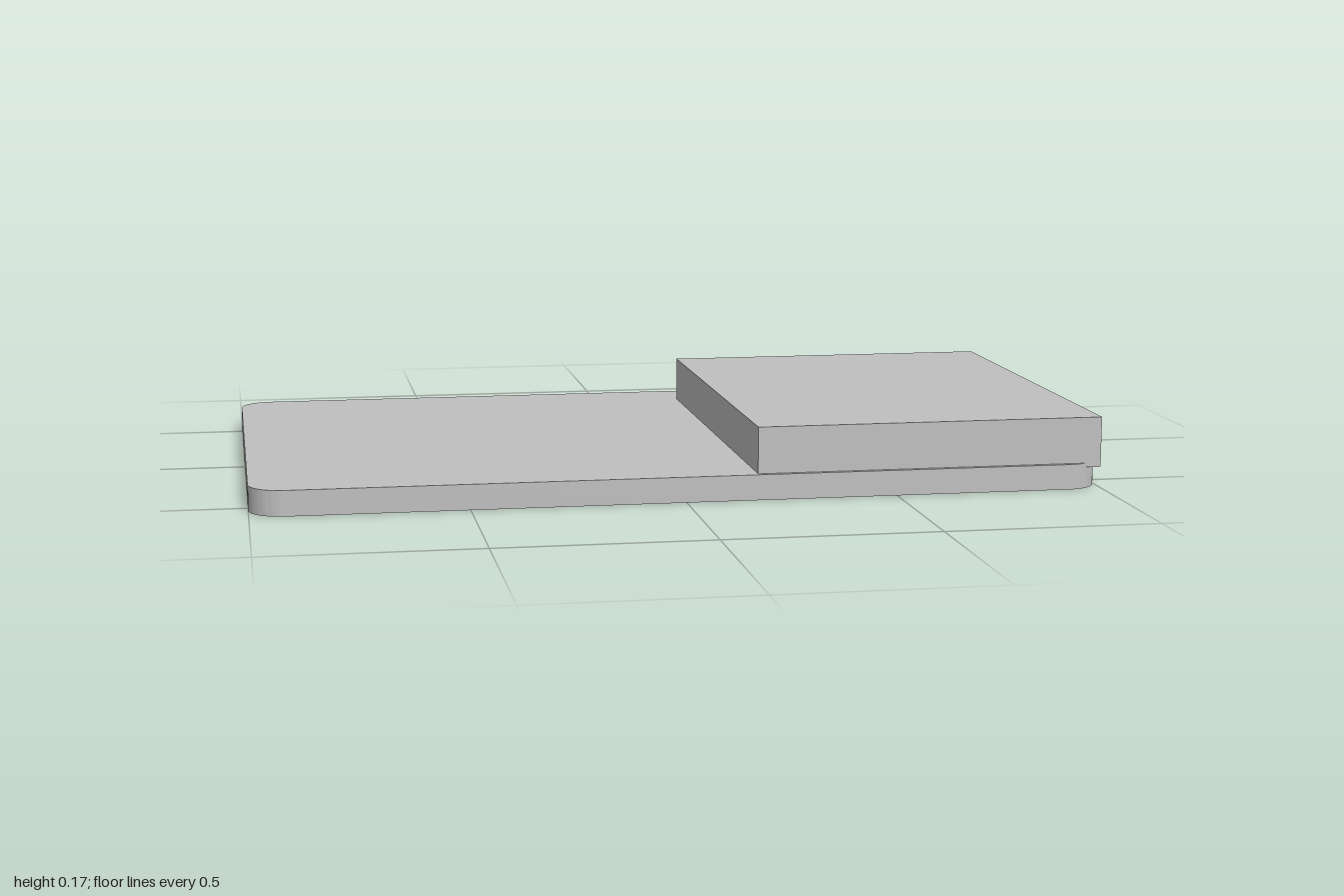
import * as THREE from 'three';
import { toCreasedNormals } from 'three/addons/utils/BufferGeometryUtils.js';

const W = 1, D = 0.605, R = 0.08; // half width, half depth, corner radius
const SLAB_H = 0.06;

function roundedRect(w, d, r) {
  const s = new THREE.Shape();
  s.moveTo(-w + r, -d);
  s.lineTo(w - r, -d);
  s.absarc(w - r, -d + r, r, -Math.PI / 2, 0);
  s.lineTo(w, d - r);
  s.absarc(w - r, d - r, r, 0, Math.PI / 2);
  s.lineTo(-w + r, d);
  s.absarc(-w + r, d - r, r, Math.PI / 2, Math.PI);
  s.lineTo(-w, -d + r);
  s.absarc(-w + r, -d + r, r, Math.PI, Math.PI * 1.5);
  return s;
}

export function createModel() {
  const group = new THREE.Group();
  group.name = 'slabWithBlock';
  const grey = new THREE.MeshStandardMaterial({ color: 0xc0c0c0 });
  grey.name = 'grey';

  // Thin base slab with rounded vertical corners
  const slabGeo = new THREE.ExtrudeGeometry(roundedRect(W, D, R), {
    depth: SLAB_H, bevelEnabled: false, curveSegments: 12,
  });
  slabGeo.rotateX(-Math.PI / 2);
  const slab = new THREE.Mesh(toCreasedNormals(slabGeo, Math.PI / 6), grey);
  slab.name = 'baseSlab';
  group.add(slab);

  // Square-cornered block sunk slightly into the slab, overhanging its rounded corner
  const x0 = 0.17, x1 = 1, y0 = 0.05, y1 = 0.17, z0 = -0.475, z1 = 0.593;
  const block = new THREE.Mesh(new THREE.BoxGeometry(x1 - x0, y1 - y0, z1 - z0), grey);
  block.position.set((x0 + x1) / 2, (y0 + y1) / 2, (z0 + z1) / 2);
  block.name = 'raisedBlock';
  group.add(block);

  return group;
}
